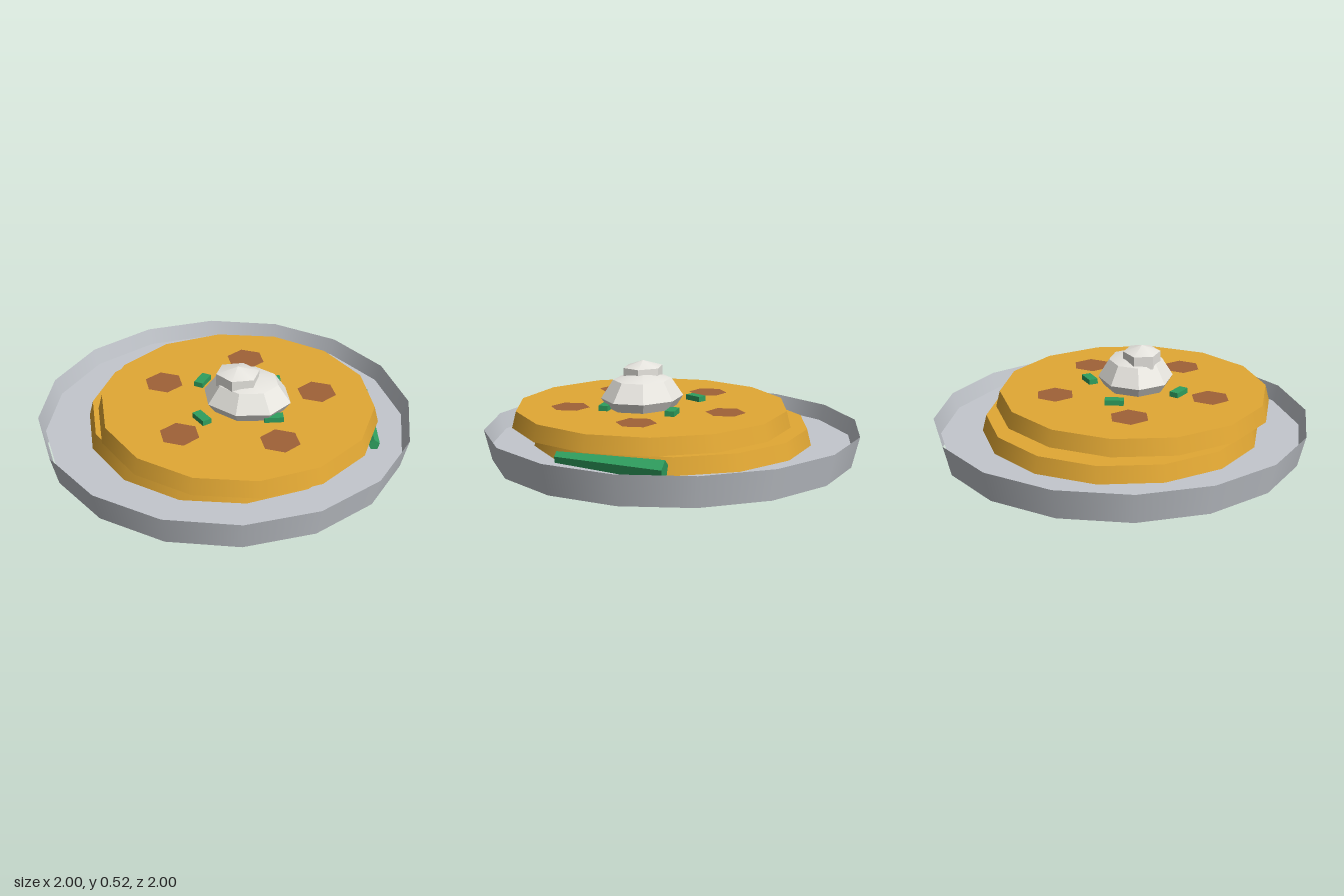
import * as THREE from 'three';
import { toCreasedNormals } from 'three/addons/utils/BufferGeometryUtils.js';

const mat = (name, color, extra = {}) => {
  const m = new THREE.MeshStandardMaterial({ color, ...extra });
  m.name = name;
  return m;
};
const rad = THREE.MathUtils.degToRad;

export function createModel() {
  const metal = mat('plate grey', 0xc3c7cd, { side: THREE.DoubleSide });
  const batter = mat('golden batter', 0xe2a834);
  const brown = mat('brown topping', 0xa06237);
  const green = mat('herb green', 0x2f9e5e);
  const cream = mat('cream', 0xeeece6);

  const model = new THREE.Group();
  const add = (parent, name, geometry, material, x = 0, y = 0, z = 0) => {
    const mesh = new THREE.Mesh(geometry, material);
    mesh.name = name;
    mesh.position.set(x, y, z);
    parent.add(mesh);
    return mesh;
  };

  // Shallow plate: open wall, flat floor halfway up, rounded underside below it
  const plate = new THREE.Group();
  plate.name = 'plate';
  model.add(plate);
  add(plate, 'plateWall', new THREE.CylinderGeometry(1, 0.96, 0.164, 16, 1, true), metal, 0, 0.082, 0);
  add(plate, 'plateFloor', new THREE.CircleGeometry(0.965, 16).rotateX(-Math.PI / 2), metal, 0, 0.08, 0);
  const belly = new THREE.SphereGeometry(1, 16, 6, 0, Math.PI * 2, Math.PI / 2, Math.PI / 2);
  add(plate, 'plateUnderside', belly.scale(0.96, 0.078, 0.96), metal, 0, 0.079, 0);

  // One pancake with a ring of round slices and a ring of chopped herbs
  const cake = new THREE.CylinderGeometry(0.72, 0.742, 0.087, 14);
  const slice = new THREE.CircleGeometry(0.105, 6).rotateX(-Math.PI / 2);
  const herb = new THREE.BoxGeometry(0.1, 0.03, 0.05);
  const addPancake = (name, x, y, z, herbStart, herbTurn) => {
    const group = new THREE.Group();
    group.name = name;
    group.position.set(x, y, z);
    model.add(group);
    add(group, 'pancakeDisc', cake, batter, 0, 0.0435, 0);
    for (let i = 0; i < 5; i++) {
      const a = rad(43 + 72 * i);
      add(group, 'toppingSlice', slice, brown, 0.432 * Math.cos(a), 0.09, 0.432 * Math.sin(a));
    }
    for (let i = 0; i < 4; i++) {
      const a = rad(herbStart + 90 * i);
      add(group, 'herbPiece', herb, green, 0.26 * Math.cos(a), 0.1, 0.26 * Math.sin(a))
        .rotation.y = -rad(herbTurn + 60 * i);
    }
  };
  addPancake('lowerPancake', 0, 0.092, 0, 45, 45);
  addPancake('upperPancake', 0.088, 0.194, 0.072, 27, -22);

  // Five-sided stalk on the plate, tapering to the front, ridge up
  const stalk = new THREE.CylinderGeometry(0.055, 0.03, 0.553, 5).rotateX(-Math.PI / 2);
  add(model, 'greenStalk', toCreasedNormals(stalk, rad(30)), green, 0.729, 0.1375, -0.191)
    .lookAt(0.828, 0.15, 0.067);

  // Faceted dollop with a small peak
  const dollop = new THREE.SphereGeometry(1, 8, 4).scale(0.235, 0.135, 0.203);
  add(model, 'creamDollop', toCreasedNormals(dollop, rad(30)), cream, 0.147, 0.333, 0.087);
  const peak = new THREE.SphereGeometry(1, 6, 3).rotateY(Math.PI / 6).scale(0.134, 0.07, 0.116);
  add(model, 'creamPeak', toCreasedNormals(peak, rad(30)), cream, 0.104, 0.449, 0.117);

  return model;
}
